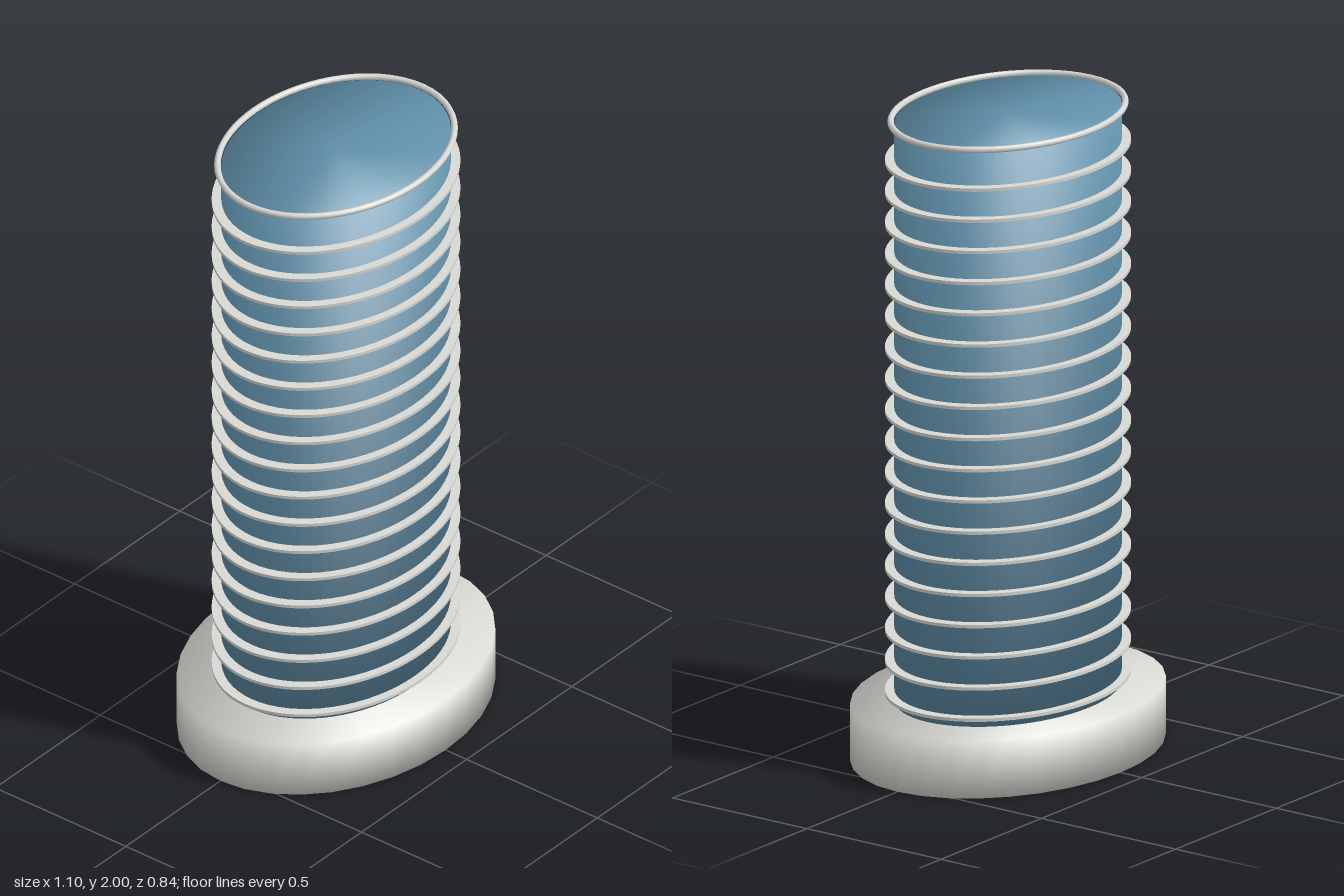
import * as THREE from 'three';

const glass = new THREE.MeshStandardMaterial({ color: 0x5f8fa9 });
glass.name = 'blue glass';
const stone = new THREE.MeshStandardMaterial({ color: 0xd9d9d4 });
stone.name = 'pale stone';

// Elliptical drum whose normals blend softly over the rims
function softDrum(name, rx, rz, y0, y1, segments, material) {
  const h = y1 - y0;
  const geo = new THREE.CylinderGeometry(1, 1, h, segments);
  geo.scale(rx, 1, rz);
  const pos = geo.attributes.position;
  const n = new THREE.Vector3();
  for (let i = 0; i < pos.count; i++) {
    const x = pos.getX(i), z = pos.getZ(i);
    n.set(x / (rx * rx), 0, z / (rz * rz));
    if (n.length() > 1e-6) n.normalize();
    n.y = Math.sign(pos.getY(i));
    n.normalize();
    geo.attributes.normal.setXYZ(i, n.x, n.y, n.z);
  }
  const mesh = new THREE.Mesh(geo, material);
  mesh.name = name;
  mesh.position.y = y0 + h / 2;
  return mesh;
}

// Thin flat elliptical ring that wraps the tower
function ledgeGeometry(rx, rz, width, thickness) {
  const shape = new THREE.Shape();
  shape.absellipse(0, 0, rx, rz, 0, Math.PI * 2, false);
  const hole = new THREE.Path();
  hole.absellipse(0, 0, rx - width, rz - width, 0, Math.PI * 2, true);
  shape.holes.push(hole);
  const geo = new THREE.ExtrudeGeometry(shape, {
    depth: thickness, bevelEnabled: false, curveSegments: 64,
  });
  geo.rotateX(-Math.PI / 2);
  geo.translate(0, -thickness / 2, 0);
  return geo;
}

export function createModel() {
  const model = new THREE.Group();
  model.name = 'ovalTower';

  model.add(softDrum('base', 0.55, 0.42, 0, 0.18, 32, stone));
  model.add(softDrum('towerBody', 0.4, 0.3, 0.18, 1.985, 64, glass));

  // Floor ledges, evenly spaced up the tower
  const ledges = new THREE.Group();
  ledges.name = 'floorLedges';
  const ledgeGeo = ledgeGeometry(0.432, 0.325, 0.034, 0.01);
  const count = 18;
  for (let i = 0; i < count; i++) {
    const ledge = new THREE.Mesh(ledgeGeo, stone);
    ledge.name = 'floorLedge';
    ledge.position.y = 0.21 + (i * (1.87 - 0.21)) / (count - 1);
    ledges.add(ledge);
  }
  model.add(ledges);

  // Rounded rim around the roof
  class Oval extends THREE.Curve {
    getPoint(t, target = new THREE.Vector3()) {
      const a = t * Math.PI * 2;
      return target.set(0.411 * Math.cos(a), 0, 0.311 * Math.sin(a));
    }
  }
  const rim = new THREE.Mesh(new THREE.TubeGeometry(new Oval(), 64, 0.01, 8, true), stone);
  rim.name = 'roofRim';
  rim.position.y = 1.99;
  model.add(rim);

  return model;
}
